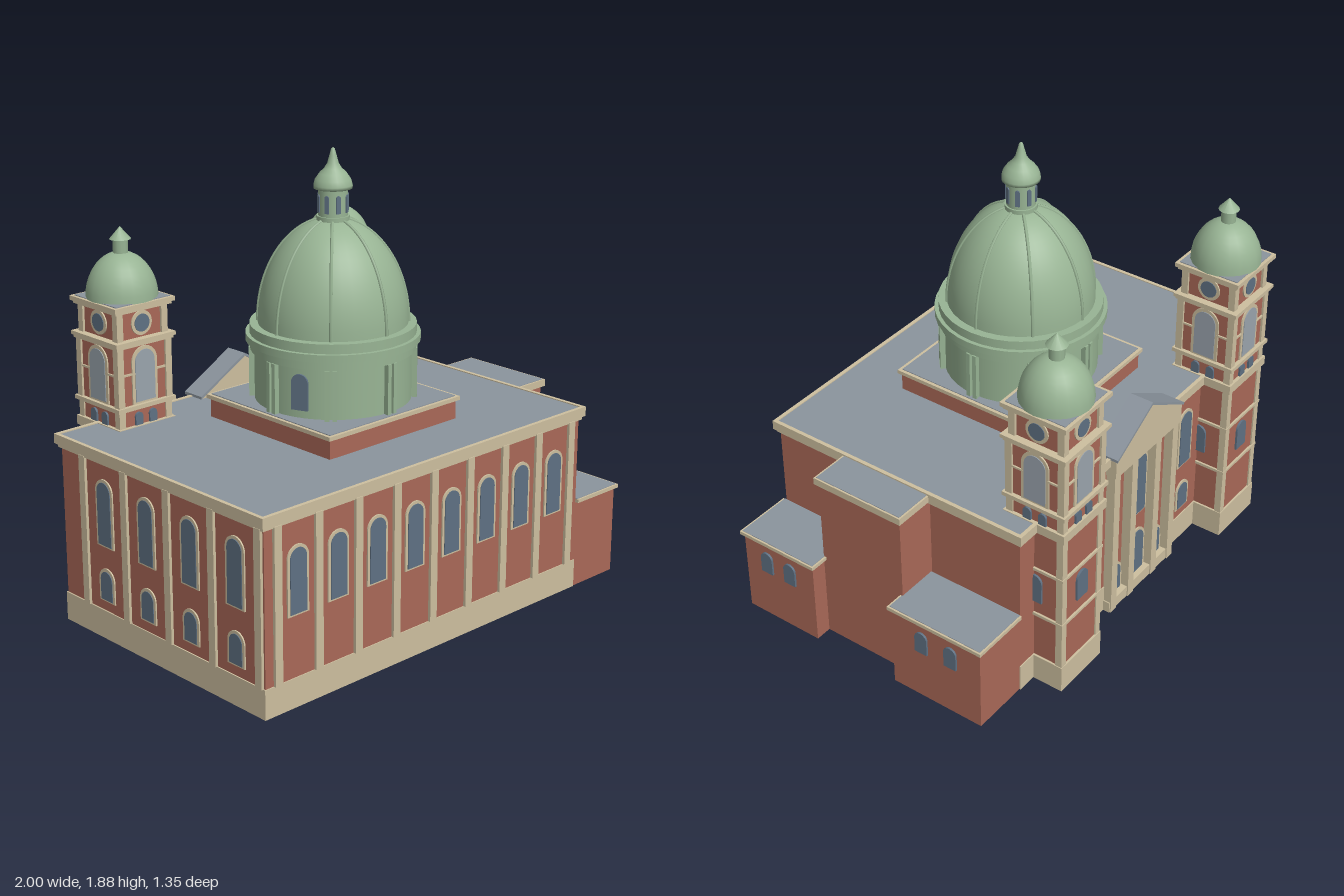
import * as THREE from 'three';

const mat = (name, color, double = false) => {
  const m = new THREE.MeshStandardMaterial({ color });
  m.name = name;
  if (double) m.side = THREE.DoubleSide;
  return m;
};
const brick = mat('brick red', 0xa96857, true);
const stone = mat('cream stone', 0xcdbf9f, true);
const slate = mat('slate grey', 0x8b949d, true);
const copper = mat('copper green', 0x98b494, true);
const glass = mat('window blue', 0x5f7183);
const louvre = mat('belfry grey', 0x9aa4ad);

function add(parent, name, geo, material, x = 0, y = 0, z = 0) {
  const m = new THREE.Mesh(geo, material);
  m.name = name;
  m.position.set(x, y, z);
  parent.add(m);
  return m;
}

// Box given by its ranges; open = no bottom face
function block(parent, name, material, x0, x1, y0, y1, z0, z1, open = false) {
  const g = new THREE.BoxGeometry(x1 - x0, y1 - y0, z1 - z0);
  if (open) {
    const i = Array.from(g.index.array);
    g.setIndex([...i.slice(0, 18), ...i.slice(24)]);
    g.clearGroups();
  }
  return add(parent, name, g, material, (x0 + x1) / 2, (y0 + y1) / 2, (z0 + z1) / 2);
}

// Rectangular frame lying flat, used for cornices and plinths
function ring(parent, name, material, x0, x1, y0, y1, z0, z1, t) {
  const rect = (P, a, b, c, d) => {
    const p = new P();
    p.moveTo(a, c); p.lineTo(b, c); p.lineTo(b, d); p.lineTo(a, d); p.closePath();
    return p;
  };
  const s = rect(THREE.Shape, x0, x1, -z1, -z0);
  s.holes.push(rect(THREE.Path, x0 + t, x1 - t, -z1 + t, -z0 - t));
  const g = new THREE.ExtrudeGeometry(s, { depth: y1 - y0, bevelEnabled: false });
  g.rotateX(-Math.PI / 2);
  return add(parent, name, g, material, 0, y0, 0);
}

function archGeo(w, y0, y1, depth) {
  const r = w / 2, s = new THREE.Shape();
  s.moveTo(-r, y0); s.lineTo(r, y0); s.lineTo(r, y1 - r);
  s.absarc(0, y1 - r, r, 0, Math.PI, false);
  s.closePath();
  return new THREE.ExtrudeGeometry(s, { depth, bevelEnabled: false, curveSegments: 8 });
}

// Arched window on a wall at x, z, facing angle a about y
function archWindow(parent, x, z, a, w, y0, y1, frame = 0, pane = glass) {
  const g = new THREE.Group();
  g.name = 'archedWindow';
  g.position.set(x, 0, z);
  g.rotation.y = a;
  if (frame) add(g, 'windowFrame', archGeo(w + 2 * frame, y0 - frame * 0.6, y1 + frame, 0.006), stone);
  add(g, 'windowPane', archGeo(w, y0, y1, 0.009), pane);
  parent.add(g);
}

const lathe = (pts, n) => new THREE.LatheGeometry(pts.map(p => new THREE.Vector2(p[0], p[1])), n);
const BACK = Math.PI, LEFT = Math.PI / 2, RIGHT = -Math.PI / 2;

function buildHall(root) {
  const hall = new THREE.Group();
  hall.name = 'hall';
  root.add(hall);
  block(hall, 'hallWalls', brick, -0.98, 0.73, 0.12, 0.75, -0.525, 0.66, true);
  ring(hall, 'plinth', stone, -0.985, 0.733, 0, 0.12, -0.53, 0.664, 0.012);
  ring(hall, 'lowerCornice', stone, -0.99, 0.742, 0.735, 0.755, -0.537, 0.668, 0.03);
  ring(hall, 'cornice', stone, -1, 0.753, 0.75, 0.79, -0.547, 0.677, 0.016);
  block(hall, 'hallRoof', slate, -0.985, 0.738, 0.752, 0.786, -0.532, 0.662);

  // Long front wall
  for (let i = 0; i < 9; i++) {
    const x = -0.922 + i * 0.2;
    block(hall, 'frontPilaster', stone, x - 0.018, x + 0.018, 0.12, 0.74, 0.655, 0.672);
    if (i < 8) archWindow(hall, x + 0.1, 0.66, 0, 0.08, 0.375, 0.63, 0.012);
  }
  // Side wall with two rows of windows
  for (let i = 0; i < 5; i++) {
    const z = -0.385 + i * 0.255;
    block(hall, 'sidePilaster', stone, -0.992, -0.975, 0.12, 0.74, z - 0.018, z + 0.018);
    if (i < 4) {
      archWindow(hall, -0.98, z + 0.1275, RIGHT, 0.08, 0.4, 0.66, 0.012);
      archWindow(hall, -0.98, z + 0.1275, RIGHT, 0.07, 0.17, 0.29, 0.012);
    }
  }
  // Back wall between towers and portico
  for (const x of [-0.42, 0.275]) {
    archWindow(hall, x, -0.525, BACK, 0.08, 0.4, 0.66, 0.012);
    archWindow(hall, x, -0.525, BACK, 0.07, 0.17, 0.29, 0.012);
  }
}

function buildWings(root) {
  const wing = (name, x1, top, z0, z1, out) => {
    block(root, name + 'Walls', brick, 0.72, x1, 0, top - 0.015, z0, z1, true);
    block(root, name + 'Cornice', stone, 0.735, x1 + 0.014, top - out, top, z0 - 0.012, z1 + 0.012);
    block(root, name + 'Roof', slate, 0.735, x1 + 0.006, top - 0.006, top + 0.002, z0 - 0.004, z1 + 0.004);
  };
  wing('frontWing', 0.982, 0.388, 0.3, 0.66, 0.015);
  wing('backWing', 0.982, 0.388, -0.525, -0.1, 0.015);
  wing('middleWing', 0.912, 0.782, -0.1, 0.3, 0.03);
  for (const z of [0.543, 0.423, -0.245, -0.385]) archWindow(root, 0.982, z, LEFT, 0.058, 0.23, 0.33);
}

function buildPortico(root) {
  const p = new THREE.Group();
  p.name = 'portico';
  p.position.x = -0.073;
  root.add(p);
  block(p, 'porticoBase', stone, -0.235, 0.235, 0, 0.05, -0.56, -0.52);
  for (const x of [-0.21, -0.085, 0.085, 0.21])
    block(p, 'porticoPilaster', stone, x - 0.02, x + 0.02, 0, 0.72, -0.565, -0.52);
  block(p, 'entablature', stone, -0.235, 0.235, 0.7, 0.79, -0.572, -0.48);
  archWindow(p, 0, -0.525, BACK, 0.095, 0.36, 0.66, 0.012);
  archWindow(p, 0, -0.525, BACK, 0.095, 0.05, 0.26, 0.012);
  for (const x of [-0.147, 0.147]) archWindow(p, x, -0.525, BACK, 0.055, 0.05, 0.18, 0.01);
  // Gable with two sloping roof slabs
  const tri = new THREE.Shape([[-0.235, 0.79], [0.235, 0.79], [0, 0.925]].map(a => new THREE.Vector2(...a)));
  add(p, 'pediment', new THREE.ExtrudeGeometry(tri, { depth: 0.095, bevelEnabled: false }), stone, 0, 0, -0.575);
  for (const s of [-1, 1]) {
    const q = [[s * 0.239, 0.785], [0, 0.924], [0, 0.936], [s * 0.239, 0.797]];
    const slab = new THREE.Shape(q.map(a => new THREE.Vector2(...a)));
    add(p, 'pedimentRoof', new THREE.ExtrudeGeometry(slab, { depth: 0.105, bevelEnabled: false }), slate, 0, 0, -0.58);
  }
}

function buildTower(root, cx) {
  const t = new THREE.Group();
  t.name = 'tower';
  t.position.set(cx, 0, -0.53);
  root.add(t);
  const sq = (name, m, h, y0, y1) => block(t, name, m, -h, h, y0, y1, -h, h);
  const corners = (h, w, y0, y1) => {
    for (const x of [-1, 1]) for (const z of [-1, 1]) {
      const c = h - w / 2;
      add(t, 'cornerPilaster', new THREE.BoxGeometry(w, y1 - y0, w), stone, x * c, (y0 + y1) / 2, z * c);
    }
  };
  sq('towerPlinth', stone, 0.134, 0, 0.12);
  sq('towerShaft', brick, 0.125, 0.12, 0.86);
  corners(0.131, 0.03, 0.12, 0.86);
  for (const y of [0.335, 0.56]) sq('towerBand', stone, 0.134, y - 0.006, y + 0.006);
  sq('towerCornice', stone, 0.14, 0.75, 0.789);
  sq('belfrySill', stone, 0.143, 0.858, 0.875);
  sq('belfry', brick, 0.125, 0.875, 1.12);
  corners(0.134, 0.03, 0.875, 1.12);
  sq('belfryBand', stone, 0.1315, 0.999, 1.007);
  sq('belfryCornice', stone, 0.14, 1.115, 1.13);
  sq('belfryCorniceTop', stone, 0.147, 1.127, 1.142);
  sq('clockStage', brick, 0.115, 1.14, 1.26);
  corners(0.125, 0.03, 1.14, 1.26);
  sq('topCornice', stone, 0.138, 1.255, 1.27);
  sq('topCorniceUpper', stone, 0.147, 1.267, 1.285);
  sq('towerRoof', slate, 0.133, 1.28, 1.288);

  // Openings on all four faces
  for (let i = 0; i < 4; i++) {
    const side = new THREE.Group();
    side.name = 'towerFace';
    side.rotation.y = i * Math.PI / 2;
    t.add(side);
    if (i !== 0) archWindow(side, 0, 0.125, 0, 0.07, 0.4, 0.53);
    for (const x of [-0.035, 0.035]) archWindow(side, x, 0.125, 0, 0.036, 0.79, 0.842);
    archWindow(side, 0, 0.125, 0, 0.096, 0.885, 1.095, 0.014, louvre);
    const disc = (name, r, m, d) =>
      add(side, name, new THREE.CylinderGeometry(r, r, d, 24).rotateX(Math.PI / 2), m, 0, 1.2, 0.115 + d / 2);
    disc('roundFrame', 0.05, stone, 0.006);
    disc('roundWindow', 0.036, glass, 0.009);
  }
  // Cupola with finial
  const dome = [];
  for (let i = 0; i <= 10; i++) {
    const a = i / 10 * Math.PI / 2;
    dome.push([0.143 * Math.cos(a), 1.285 + 0.18 * Math.sin(a)]);
  }
  add(t, 'cupola', lathe(dome, 20), copper);
  add(t, 'finialNeck', new THREE.CylinderGeometry(0.03, 0.03, 0.07, 12), copper, 0, 1.485, 0);
  add(t, 'finialCap', new THREE.ConeGeometry(0.043, 0.05, 12), copper, 0, 1.54, 0);
}

function buildDome(root) {
  const d = new THREE.Group();
  d.name = 'mainDome';
  d.position.set(-0.073, 0, 0.058);
  root.add(d);
  const cyl = (name, r, y0, y1, m = copper, n = 40) =>
    add(d, name, new THREE.CylinderGeometry(r, r, y1 - y0, n), m, 0, (y0 + y1) / 2, 0);
  block(d, 'domeBase', brick, -0.345, 0.345, 0.78, 0.868, -0.345, 0.345);
  block(d, 'domeBaseCornice', stone, -0.357, 0.357, 0.864, 0.88, -0.357, 0.357);
  block(d, 'domeBaseRoof', slate, -0.343, 0.343, 0.876, 0.883, -0.343, 0.343);
  cyl('drum', 0.312, 0.88, 1.13);
  cyl('drumFrieze', 0.328, 1.085, 1.125);
  cyl('drumCornice', 0.346, 1.122, 1.152);
  cyl('drumAttic', 0.33, 1.15, 1.19);

  // Dome shell and eight ribs
  const prof = r => {
    const out = [];
    for (let i = 0; i <= 16; i++) {
      const a = i / 16 * 1.4;
      out.push([(0.297 + r) * Math.cos(a), 1.188 + (0.42 + r) * Math.sin(a)]);
    }
    return out;
  };
  add(d, 'domeShell', lathe([...prof(0), [0, 1.604]], 40), copper);
  const ribLine = new THREE.CatmullRomCurve3(prof(0).map(p => new THREE.Vector3(p[0], p[1], 0)));
  for (let i = 0; i < 8; i++) {
    const a = i * Math.PI / 4;
    add(d, 'domeRib', new THREE.TubeGeometry(ribLine, 20, 0.007, 5), copper).rotation.y = a;
    // Paired drum pilasters below each rib
    for (const o of [-0.045, 0.045]) {
      const p = add(d, 'drumPilaster', new THREE.BoxGeometry(0.018, 0.205, 0.03), copper,
        0.318 * Math.sin(a + o), 0.983, 0.318 * Math.cos(a + o));
      p.rotation.y = a + o;
    }
  }
  const w = -Math.PI * 3 / 8;
  archWindow(d, 0.31 * Math.sin(w), 0.31 * Math.cos(w), w, 0.07, 0.915, 1.06);

  // Lantern
  cyl('lanternFoot', 0.065, 1.596, 1.615, copper, 24);
  cyl('lantern', 0.058, 1.6, 1.73, copper, 24);
  for (let i = 0; i < 8; i++) {
    const a = (i + 0.5) * Math.PI / 4;
    archWindow(d, 0.053 * Math.sin(a), 0.053 * Math.cos(a), a, 0.018, 1.63, 1.7);
  }
  add(d, 'lanternCap', lathe([[0, 1.72], [0.076, 1.722], [0.076, 1.735], [0.07, 1.757], [0.054, 1.78],
    [0.034, 1.8], [0.022, 1.82], [0.014, 1.85], [0.007, 1.875], [0, 1.88]], 24), copper);
}

export function createModel() {
  const root = new THREE.Group();
  root.name = 'domedChurch';
  buildHall(root);
  buildWings(root);
  buildPortico(root);
  for (const x of [-0.658, 0.514]) buildTower(root, x);
  buildDome(root);
  return root;
}
